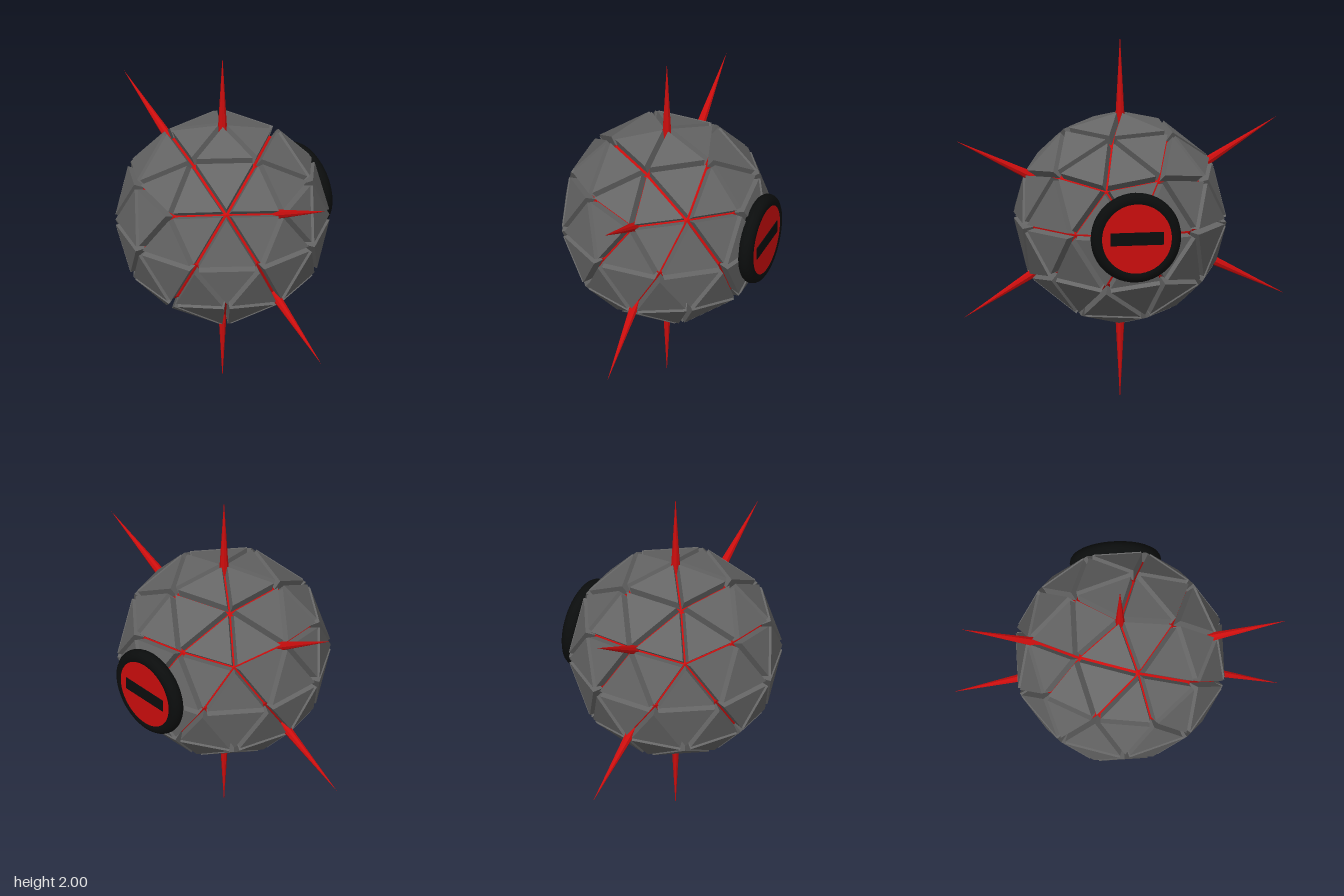
import * as THREE from 'three';

const mat = (name, color, flatShading = false) => {
  const m = new THREE.MeshStandardMaterial({ color, flatShading });
  m.name = name;
  return m;
};

// Geodesic ball: a pole-up icosahedron with every face split in four
function geodesic(radius) {
  const v = [0, 1, 0];
  const h = 1 / Math.sqrt(5), r = 2 * h;
  for (const [y, turn] of [[h, 0], [-h, Math.PI / 5]])
    for (let i = 0; i < 5; i++) {
      const a = turn + (i * 2 * Math.PI) / 5;
      v.push(r * Math.cos(a), y, r * Math.sin(a));
    }
  v.push(0, -1, 0);
  const f = [];
  for (let i = 0; i < 5; i++) {
    const u0 = 1 + i, u1 = 1 + ((i + 1) % 5), l0 = u0 + 5, l1 = u1 + 5;
    f.push(0, u1, u0, u0, u1, l0, l1, l0, u1, l0, l1, 11);
  }
  return new THREE.PolyhedronGeometry(v, f, radius, 1);
}

// Armour: each face inset by a gap and given side walls running inward
function armourGeometry(radius, gap, depth) {
  const pos = geodesic(radius).attributes.position;
  const out = [];
  const tri = (...pts) => pts.forEach((p) => out.push(p.x, p.y, p.z));
  for (let i = 0; i < pos.count; i += 3) {
    const c = [0, 1, 2].map((k) => new THREE.Vector3().fromBufferAttribute(pos, i + k));
    const n = new THREE.Triangle(...c).getNormal(new THREE.Vector3());
    const top = c.map((p, k) => {
      const e1 = c[(k + 1) % 3].clone().sub(p).normalize();
      const e2 = c[(k + 2) % 3].clone().sub(p).normalize();
      const s = gap / e1.clone().cross(e2).length();
      return p.clone().addScaledVector(e1.add(e2), s);
    });
    const low = top.map((p) => p.clone().addScaledVector(n, -depth));
    tri(...top);
    for (let k = 0; k < 3; k++) {
      const j = (k + 1) % 3;
      tri(top[k], low[k], top[j]);
      tri(low[k], low[j], top[j]);
    }
  }
  const g = new THREE.BufferGeometry();
  g.setAttribute('position', new THREE.Float32BufferAttribute(out, 3));
  g.computeVertexNormals();
  return g;
}

export function createModel() {
  const model = new THREE.Group();
  model.name = 'spikedBall';
  const grey = mat('armourGrey', 0x666666, true);
  const redFlat = mat('red', 0xcc0d0d, true);
  const black = mat('black', 0x0b0d0d);

  const add = (name, geometry, material, parent = model) => {
    const m = new THREE.Mesh(geometry, material);
    m.name = name;
    parent.add(m);
    return m;
  };

  const ball = new THREE.Group();
  ball.name = 'ball';
  ball.position.y = 1;
  model.add(ball);

  add('core', geodesic(0.525), redFlat, ball);
  add('armourPanels', armourGeometry(0.585, 0.016, 0.06), grey, ball);

  // Six spikes in the upright plane, pointing straight out from the centre
  const inner = 0.46, tip = 1;
  const spike = new THREE.ConeGeometry(0.03, tip - inner, 8);
  spike.translate(0, (inner + tip) / 2, 0);
  const low = Math.atan(0.5);
  const high = Math.PI / 2 - (Math.PI - low * 1) / 2 + 0;
  const mid = Math.acos(0.8507);
  void high;
  const angles = [Math.PI / 2, low, Math.PI - mid];
  for (const a of angles)
    for (const side of [0, Math.PI])
      add('spike', spike, redFlat, ball).rotation.z = a + side - Math.PI / 2;

  // Round hatch on the back: ring, disc and slot
  const hatch = new THREE.Group();
  hatch.name = 'hatch';
  hatch.position.z = -0.54;
  hatch.rotation.y = Math.PI;
  ball.add(hatch);
  add('hatchRing', new THREE.TorusGeometry(0.205, 0.041, 16, 48), black, hatch);
  const disc = add('hatchDisc', new THREE.CylinderGeometry(0.195, 0.195, 0.08, 48), redFlat, hatch);
  disc.rotation.x = Math.PI / 2;
  disc.position.z = -0.002;
  add('hatchSlot', new THREE.BoxGeometry(0.29, 0.07, 0.006), black, hatch).position.z = 0.039;

  return model;
}
